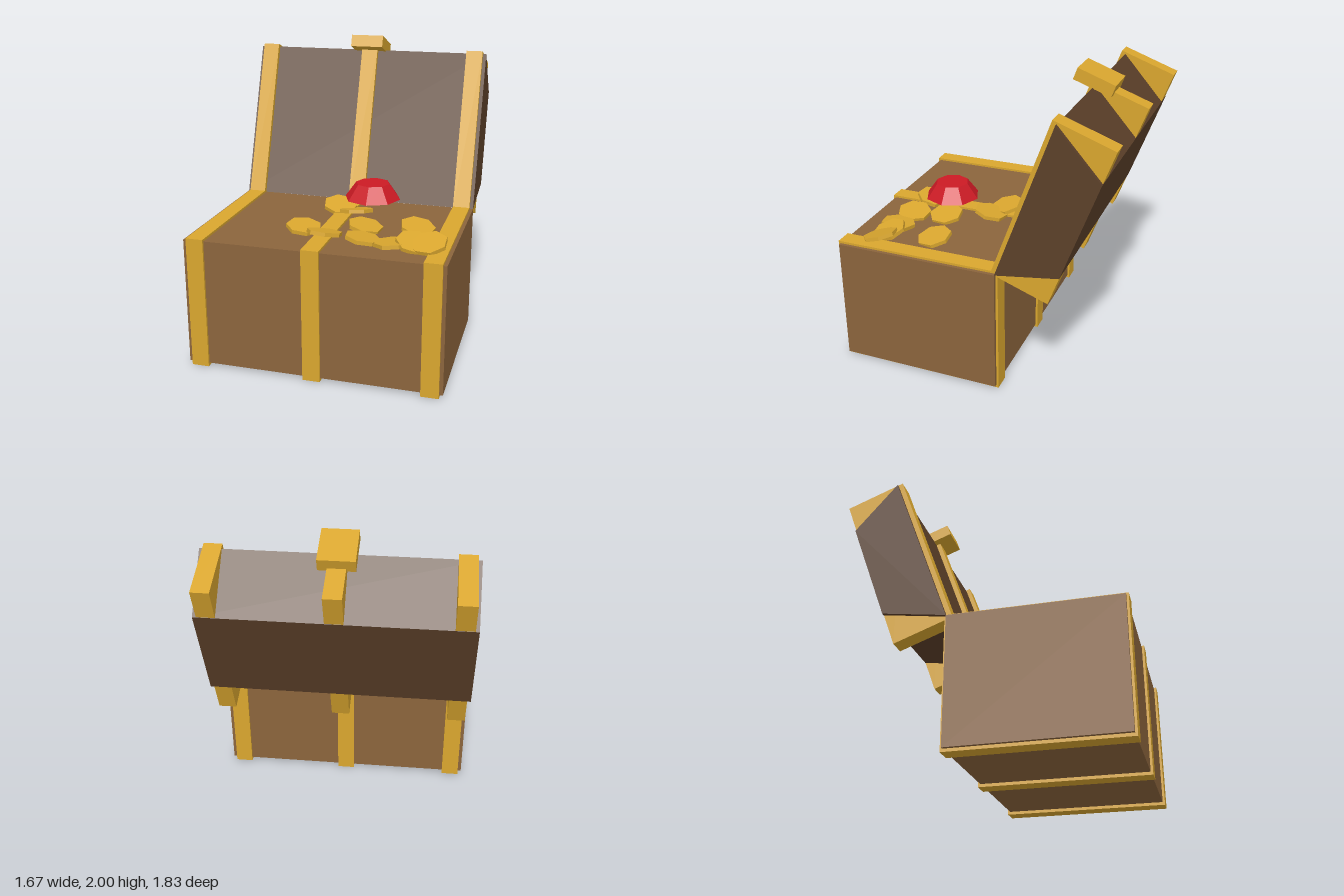
import * as THREE from 'three';

const material = (color) => new THREE.MeshStandardMaterial({ color, flatShading: true });
const wood = material(0x8b643c);
const darkWood = material(0x5c4029);
const gold = material(0xd9a62e);
const red = material(0xcc1a24);

// Box given by its limits on each axis
function box(name, mat, [x0, x1], [y0, y1], [z0, z1]) {
  const mesh = new THREE.Mesh(new THREE.BoxGeometry(x1 - x0, y1 - y0, z1 - z0), mat);
  mesh.position.set((x0 + x1) / 2, (y0 + y1) / 2, (z0 + z1) / 2);
  mesh.name = name;
  return mesh;
}

// Three gold straps, at both ends and in the middle
function bands(name, y, z) {
  const group = new THREE.Group();
  group.name = name;
  for (const x of [-0.755, 0, 0.755]) {
    group.add(box('band', gold, [x - 0.057, x + 0.057], y, z));
  }
  return group;
}

// Open lid, leaning back around the hinge
function createLid() {
  const lid = new THREE.Group();
  lid.name = 'lid';

  // Trapezoid section (z, y) drawn out along x
  const section = new THREE.Shape([
    [0.031, 0.017], [0.402, 0.22], [0.402, 0.906], [0.031, 1.108],
  ].map(([back, y]) => new THREE.Vector2(back, y)));
  const geometry = new THREE.ExtrudeGeometry(section, { depth: 1.67, bevelEnabled: false });
  geometry.translate(0, 0, -0.835);
  geometry.rotateY(Math.PI / 2);
  const panel = new THREE.Mesh(geometry, darkWood);
  panel.name = 'lidPanel';

  lid.add(
    panel,
    bands('lidBands', [0, 1.12], [-0.4, 0]),
    box('clasp', gold, [-0.114, 0.114], [1.101, 1.183], [-0.162, 0.103]),
  );
  lid.position.set(0, 0.855, -0.155);
  lid.rotation.x = -0.349;
  return lid;
}

// Seven-sided coins: x, y, z, then lean of the face towards x and z
function createCoins() {
  const coins = new THREE.Group();
  coins.name = 'coins';
  const geometry = new THREE.CylinderGeometry(0.116, 0.116, 0.025, 7);
  const up = new THREE.Vector3(0, 1, 0);
  const places = [
    [-0.05, 0.895, 0.07, 0.15, 0.24],
    [0.085, 0.89, 0.14, -0.08, -0.22],
    [-0.16, 0.885, 0.535, 0.12, 0.08],
    [0.005, 0.89, 0.62, 0.06, -0.24],
    [0.22, 0.885, 0.42, 0.2, 0.05],
    [0.26, 0.885, 0.645, 0.15, -0.08],
    [0.45, 0.88, 0.67, -0.08, -0.08],
    [0.59, 0.895, 0.665, 0.22, 0.25],
    [0.685, 0.905, 0.68, -0.12, 0.3],
    [0.55, 0.885, 0.35, 0.18, 0.16],
  ];
  places.forEach(([x, y, z, leanX, leanZ], i) => {
    const coin = new THREE.Mesh(geometry, gold);
    coin.name = 'coin';
    coin.position.set(x, y, z);
    coin.quaternion.setFromUnitVectors(up, new THREE.Vector3(leanX, 1, leanZ).normalize());
    coin.rotateY(i * 0.7);
    coins.add(coin);
  });
  return coins;
}

export function createModel() {
  const chest = new THREE.Group();
  chest.name = 'treasureChest';

  // Eight-sided cut gem hovering above the coins
  const gem = new THREE.Mesh(new THREE.CylinderGeometry(0.11, 0.182, 0.1, 8), red);
  gem.name = 'gem';
  gem.position.set(0.25, 1.11, 0.35);

  chest.add(
    box('body', wood, [-0.835, 0.835], [0.02, 0.86], [-0.19, 0.905]),
    bands('bodyBands', [0, 0.875], [-0.205, 0.92]),
    createLid(),
    createCoins(),
    gem,
  );
  return chest;
}
